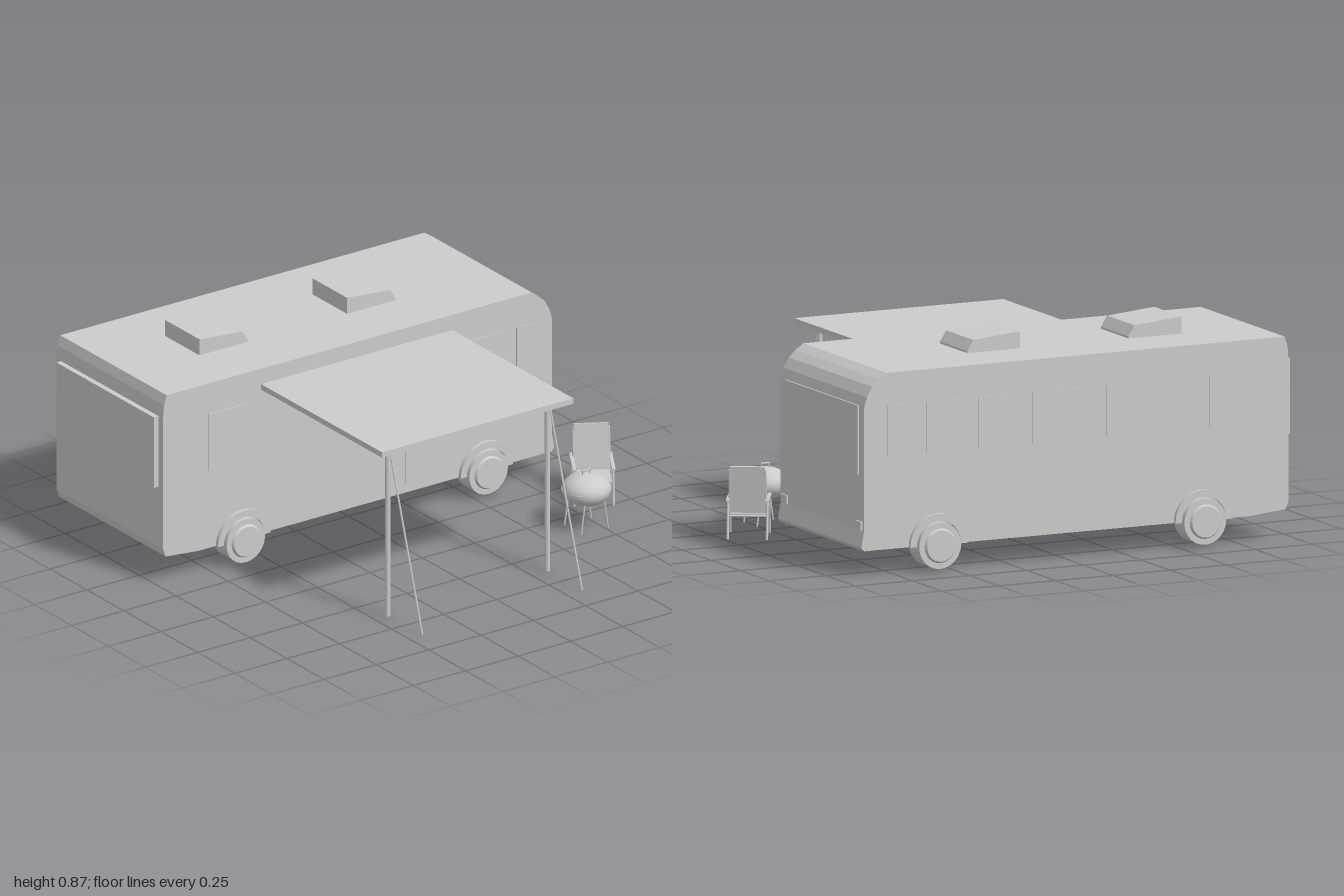
import * as THREE from 'three';

const grey = new THREE.MeshStandardMaterial({ color: 0xcccccc });
const flat = new THREE.MeshStandardMaterial({ color: 0xcccccc, flatShading: true });

function add(parent, name, geometry, material = grey) {
  const mesh = new THREE.Mesh(geometry, material);
  mesh.name = name;
  parent.add(mesh);
  return mesh;
}

// Box given by its lower and upper limits on each axis
function box(parent, name, [x0, x1], [y0, y1], [z0, z1]) {
  const m = add(parent, name, new THREE.BoxGeometry(x1 - x0, y1 - y0, z1 - z0));
  m.position.set((x0 + x1) / 2, (y0 + y1) / 2, (z0 + z1) / 2);
  return m;
}

// Straight rod between two points
function rod(parent, name, from, to, radius, sides = 8) {
  const a = new THREE.Vector3(...from), b = new THREE.Vector3(...to);
  const m = add(parent, name, new THREE.CylinderGeometry(radius, radius, a.distanceTo(b), sides));
  m.position.copy(a).lerp(b, 0.5);
  m.quaternion.setFromUnitVectors(new THREE.Vector3(0, 1, 0), b.sub(a).normalize());
  return m;
}

// Side profile in x and y, extruded from z0 to z1
function profile(parent, name, points, z0, z1) {
  const shape = new THREE.Shape(points.map(([x, y]) => new THREE.Vector2(x, y)));
  const geometry = new THREE.ExtrudeGeometry(shape, { depth: z1 - z0, bevelEnabled: false });
  const m = add(parent, name, geometry, flat);
  m.position.z = z0;
  return m;
}

const NEAR = -0.12, FAR = -0.84;

function createVan() {
  const van = new THREE.Group();
  van.name = 'motorhome';

  profile(van, 'body', [
    [-0.81, 0.1], [0.88, 0.1], [0.892, 0.115], [0.88, 0.18], [0.88, 0.67], [0.868, 0.71],
    [0.845, 0.75], [0.815, 0.777], [0.78, 0.8], [-0.96, 0.8], [-0.973, 0.76], [-0.978, 0.7],
    [-0.978, 0.15], [-0.965, 0.115],
  ], FAR, NEAR);

  // Windscreen, rear window and front lights
  box(van, 'windscreen', [0.87, 0.886], [0.395, 0.672], [-0.795, -0.165]);
  box(van, 'rearWindow', [-1, -0.97], [0.405, 0.705], [-0.81, -0.15]);
  for (const z of [-0.8, -0.16])
    box(van, 'frontLight', [0.87, 0.888], [0.18, 0.215], [z - 0.025, z + 0.025]);

  // Thin side windows and the door
  const farPanels = [[0.68, 0.78], [0.43, 0.61], [0.17, 0.38], [-0.115, 0.145], [-0.43, -0.18], [-0.76, -0.63]];
  for (const span of farPanels)
    box(van, 'farWindow', span, [0.47, 0.67], [FAR - 0.004, FAR + 0.01]);
  for (const span of [[-0.76, -0.58], [0.49, 0.64], [0.71, 0.79]])
    box(van, 'nearWindow', span, [0.43, 0.67], [NEAR - 0.01, NEAR + 0.004]);
  box(van, 'door', [0.18, 0.38], [0.14, 0.67], [NEAR - 0.01, NEAR + 0.004]);

  // Roof vents
  for (const x of [-0.63, 0.075])
    profile(van, 'roofVent', [
      [x, 0.795], [x + 0.232, 0.795], [x + 0.232, 0.808], [x + 0.205, 0.85], [x, 0.868],
    ], -0.6, -0.365);

  // Wheels with arches and hubs on both sides
  const arch = new THREE.Shape();
  arch.absarc(0, 0, 0.125, 0, Math.PI, false);
  arch.absarc(0, 0, 0.097, Math.PI, 0, true);
  const archGeometry = new THREE.ExtrudeGeometry(arch, { depth: 0.025, bevelEnabled: false, curveSegments: 16 });
  for (const x of [-0.6, 0.56])
    for (const side of [1, -1]) {
      const wheel = new THREE.Group();
      wheel.name = 'wheelAssembly';
      wheel.position.set(x, 0.1, side > 0 ? NEAR : FAR);
      if (side < 0) wheel.rotation.y = Math.PI;
      add(wheel, 'wheelArch', archGeometry).position.z = -0.01;
      const tyre = add(wheel, 'tyre', new THREE.CylinderGeometry(0.092, 0.092, 0.088, 24));
      tyre.rotation.x = Math.PI / 2;
      tyre.position.z = -0.018;
      const hub = add(wheel, 'hub', new THREE.CylinderGeometry(0.062, 0.07, 0.012, 24));
      hub.rotation.x = Math.PI / 2;
      hub.position.z = 0.03;
      van.add(wheel);
    }
  return van;
}

function createAwning() {
  const awning = new THREE.Group();
  awning.name = 'awning';
  box(awning, 'awningRoof', [-0.51, 0.405], [0.712, 0.735], [NEAR, 0.698]);
  for (const x of [-0.438, 0.325]) {
    rod(awning, 'awningPole', [x, 0, 0.635], [x, 0.715, 0.635], 0.011, 12);
    rod(awning, 'guyLine', [x, 0.712, 0.65], [x, 0, 0.87], 0.004, 6);
  }
  return awning;
}

function createGrill() {
  const grill = new THREE.Group();
  grill.name = 'grill';
  const bowl = add(grill, 'grillBowl', new THREE.SphereGeometry(0.098, 20, 14));
  bowl.scale.y = 0.66;
  bowl.position.y = 0.16;
  add(grill, 'grillRim', new THREE.CylinderGeometry(0.099, 0.099, 0.006, 20)).position.y = 0.163;
  // Lid handle
  for (const x of [-0.016, 0.016])
    rod(grill, 'handlePost', [x, 0.215, 0], [x, 0.238, 0], 0.003, 6);
  rod(grill, 'lidHandle', [-0.02, 0.238, 0], [0.02, 0.238, 0], 0.004, 6);
  for (const sx of [-1, 1])
    for (const sz of [-1, 1])
      rod(grill, 'grillLeg', [sx * 0.046, 0.12, sz * 0.055], [sx * 0.064, 0, sz * 0.057], 0.0035, 6);
  grill.position.set(0.7, 0, 0.368);
  return grill;
}

function createChair() {
  const chair = new THREE.Group();
  chair.name = 'campingChair';
  box(chair, 'seat', [-0.07, 0.07], [0.09, 0.1], [-0.065, 0.075]);
  const back = box(chair, 'backrest', [-0.068, 0.068], [0.1, 0.288], [-0.065, -0.053]);
  back.rotation.x = -0.14;
  for (const s of [-1, 1]) {
    const x = s * 0.077;
    box(chair, 'armrest', [x - 0.007, x + 0.007], [0.149, 0.157], [-0.088, 0.085]);
    rod(chair, 'frontLeg', [x, 0.15, 0.04], [x, 0, 0.078], 0.005);
    rod(chair, 'backLeg', [x, 0.15, -0.05], [x, 0, -0.09], 0.005);
    rod(chair, 'backFrame', [s * 0.07, 0.095, -0.045], [s * 0.07, 0.275, -0.073], 0.005);
  }
  rod(chair, 'seatBar', [-0.077, 0.09, 0.055], [0.077, 0.09, 0.055], 0.004);
  rod(chair, 'seatBar', [-0.077, 0.09, -0.066], [0.077, 0.09, -0.066], 0.004);
  // Turned towards the grill
  chair.position.set(0.88, 0, 0.155);
  chair.rotation.y = -0.535;
  return chair;
}

export function createModel() {
  const model = new THREE.Group();
  model.name = 'campsite';
  model.add(createVan(), createAwning(), createGrill(), createChair());
  return model;
}
